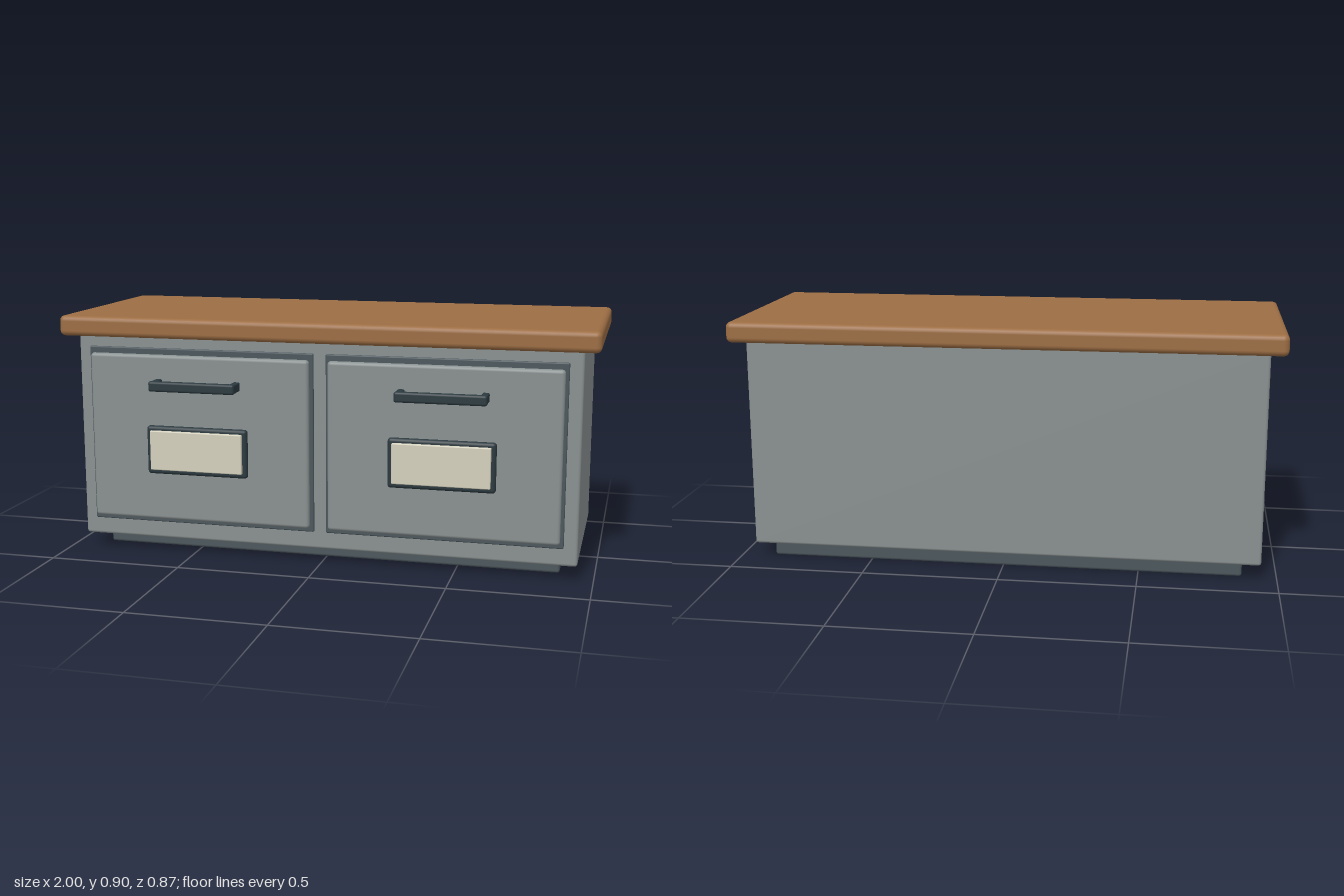
import * as THREE from 'three';
import { RoundedBoxGeometry } from 'three/addons/geometries/RoundedBoxGeometry.js';

const paint = (color) => new THREE.MeshStandardMaterial({ color });
const wood = paint(0x9c6d43);
const steel = paint(0x8a9191);
const slate = paint(0x4c575d);
const iron = paint(0x2c3a40);
const card = paint(0xd5d1be);

// Rounded box given by its min/max extents on each axis
function block(name, material, [x0, x1], [y0, y1], [z0, z1], radius) {
  const geometry = new RoundedBoxGeometry(x1 - x0, y1 - y0, z1 - z0, 3, radius);
  const mesh = new THREE.Mesh(geometry, material);
  mesh.name = name;
  mesh.position.set((x0 + x1) / 2, (y0 + y1) / 2, (z0 + z1) / 2);
  return mesh;
}

// One drawer, centred on its own x = 0
function createDrawer(name) {
  const drawer = new THREE.Group();
  drawer.name = name;
  drawer.add(
    block('drawerSurround', slate, [-0.435, 0.435], [0.122, 0.79], [0.322, 0.334], 0.005),
    block('drawerFront', steel, [-0.423, 0.423], [0.14, 0.768], [0.333, 0.362], 0.013),
    block('labelFrame', iron, [-0.195, 0.195], [0.322, 0.505], [0.361, 0.388], 0.012),
    block('labelCard', card, [-0.178, 0.178], [0.34, 0.489], [0.384, 0.4], 0.004),
  );

  // Pull handle: a bar on two posts
  const handle = new THREE.Group();
  handle.name = 'handle';
  handle.add(block('handleBar', iron, [-0.165, 0.165], [0.643, 0.681], [0.411, 0.437], 0.009));
  for (const side of [-1, 1]) {
    const x = side * 0.151;
    handle.add(block('handlePost', iron, [x - 0.013, x + 0.013], [0.645, 0.679], [0.356, 0.428], 0.006));
  }
  drawer.add(handle);
  return drawer;
}

export function createModel() {
  const cabinet = new THREE.Group();
  cabinet.name = 'drawerCabinet';

  // Carcass
  cabinet.add(
    block('plinth', slate, [-0.875, 0.875], [0, 0.07], [-0.351, 0.235], 0.01),
    block('body', steel, [-0.942, 0.942], [0.054, 0.84], [-0.382, 0.319], 0.011),
    block('worktop', wood, [-1, 1], [0.829, 0.905], [-0.434, 0.37], 0.02),
  );

  // Pair of drawers
  for (const [name, side] of [['rightDrawer', -1], ['leftDrawer', 1]]) {
    const drawer = createDrawer(name);
    drawer.position.x = side * 0.458;
    cabinet.add(drawer);
  }
  return cabinet;
}
